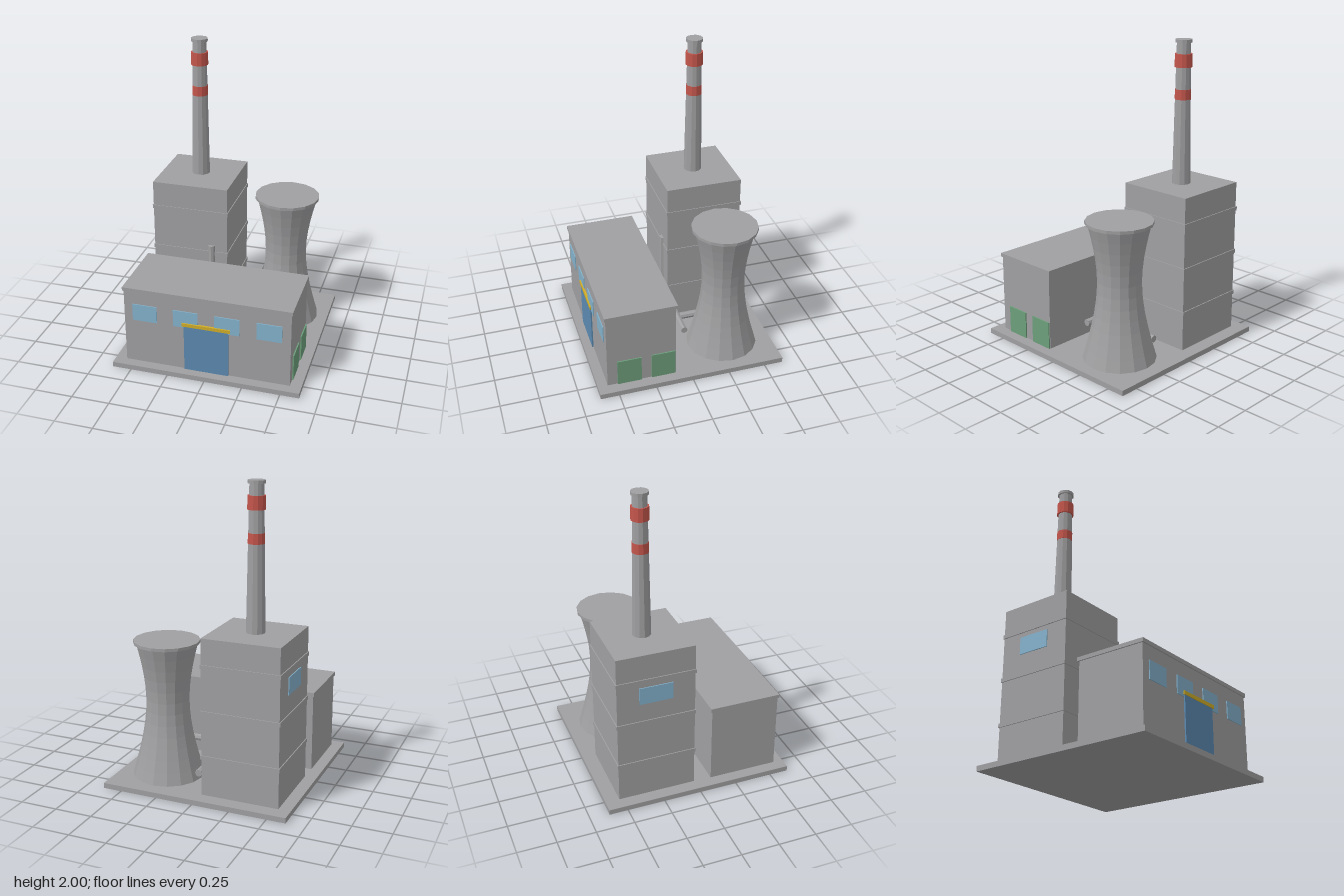
import * as THREE from 'three';

export function createModel() {
  const group = new THREE.Group();
  const mat = (name, color) => {
    const m = new THREE.MeshStandardMaterial({ color, flatShading: true });
    m.name = name;
    return m;
  };
  const grey = mat('concrete grey', 0xa0a0a2);
  const red = mat('warning red', 0xc4564c);
  const blue = mat('door blue', 0x5c8ab0);
  const glass = mat('window blue', 0x84b2cc);
  const yellow = mat('canopy yellow', 0xd0ae2a);
  const green = mat('door green', 0x6c9e7a);

  const add = (name, geometry, material) => {
    const mesh = new THREE.Mesh(geometry, material);
    mesh.name = name;
    group.add(mesh);
    return mesh;
  };
  // Box given by its extents on each axis
  const box = (name, material, [x0, x1], [y0, y1], [z0, z1]) =>
    add(name, new THREE.BoxGeometry(x1 - x0, y1 - y0, z1 - z0), material)
      .position.set((x0 + x1) / 2, (y0 + y1) / 2, (z0 + z1) / 2);
  // Upright cylinder between two heights
  const drum = (name, material, x, z, y0, y1, r0, r1, sides) =>
    add(name, new THREE.CylinderGeometry(r1, r0, y1 - y0, sides), material)
      .position.set(x, (y0 + y1) / 2, z);
  // Straight pipe between two points
  const pipe = (name, a, b, r) => {
    const from = new THREE.Vector3(...a), to = new THREE.Vector3(...b);
    const dir = to.clone().sub(from);
    const mesh = add(name, new THREE.CylinderGeometry(r, r, dir.length(), 8), grey);
    mesh.position.copy(from).add(to).multiplyScalar(0.5);
    mesh.quaternion.setFromUnitVectors(new THREE.Vector3(0, 1, 0), dir.normalize());
  };

  const ground = 0.035;
  box('basePlate', grey, [-0.625, 0.625], [0, ground], [-0.625, 0.625]);

  // Turbine hall with its overhanging roof
  box('hall', grey, [-0.55, 0.55], [ground, 0.555], [0.1, 0.56]);
  box('hallRoof', grey, [-0.558, 0.558], [0.555, 0.58], [0.09, 0.568]);
  for (const x of [-0.411, -0.137, 0.137, 0.411]) {
    box('hallWindow', glass, [x - 0.082, x + 0.082], [0.348, 0.465], [0.558, 0.566]);
  }
  box('mainDoor', blue, [-0.148, 0.146], [ground, 0.36], [0.56, 0.569]);
  box('doorCanopy', yellow, [-0.16, 0.16], [0.36, 0.383], [0.56, 0.574]);
  for (const z of [0.185, 0.413]) {
    box('sideDoor', green, [0.549, 0.558], [ground, 0.217], [z - 0.08, z + 0.08]);
  }

  // Boiler house with thin ledges
  box('boilerHouse', grey, [-0.545, -0.03], [ground, 1.065], [-0.532, -0.018]);
  for (const y of [0.29, 0.587, 0.885]) {
    box('boilerLedge', grey, [-0.551, -0.025], [y - 0.013, y + 0.013], [-0.538, -0.013]);
  }
  box('boilerWindow', glass, [-0.551, -0.543], [0.725, 0.84], [-0.387, -0.165]);

  // Chimney with red bands and a cap
  const cx = -0.288, cz = -0.276;
  drum('chimney', grey, cx, cz, 1.065, 1.98, 0.061, 0.045, 12);
  drum('lowerBand', red, cx, cz, 1.62, 1.685, 0.053, 0.052, 12);
  drum('upperBand', red, cx, cz, 1.825, 1.91, 0.057, 0.056, 12);
  drum('chimneyCap', grey, cx, cz, 1.98, 2, 0.055, 0.055, 12);

  // Cooling tower: hyperbolic shell under a closed rim
  const tx = 0.314, tz = -0.298;
  const profile = [];
  for (let i = 0; i <= 12; i++) {
    const y = ground + (0.935 - ground) * i / 12;
    profile.push(new THREE.Vector2(0.141 * Math.hypot(1, (y - 0.55) / 0.378), y));
  }
  add('coolingTower', new THREE.LatheGeometry(profile, 16), grey).position.set(tx, 0, tz);
  drum('towerRim', grey, tx, tz, 0.935, 0.955, 0.216, 0.216, 16);

  // Pipework between the buildings
  pipe('riserPipe', [-0.138, 0.19, -0.018], [-0.138, 0.645, -0.018], 0.023);
  pipe('crossPipe', [-0.155, 0.19, -0.025], [0.34, 0.19, -0.025], 0.023);
  pipe('towerPipe', [0.067, 0.095, -0.37], [0.067, 0.095, -0.047], 0.024);

  return group;
}
